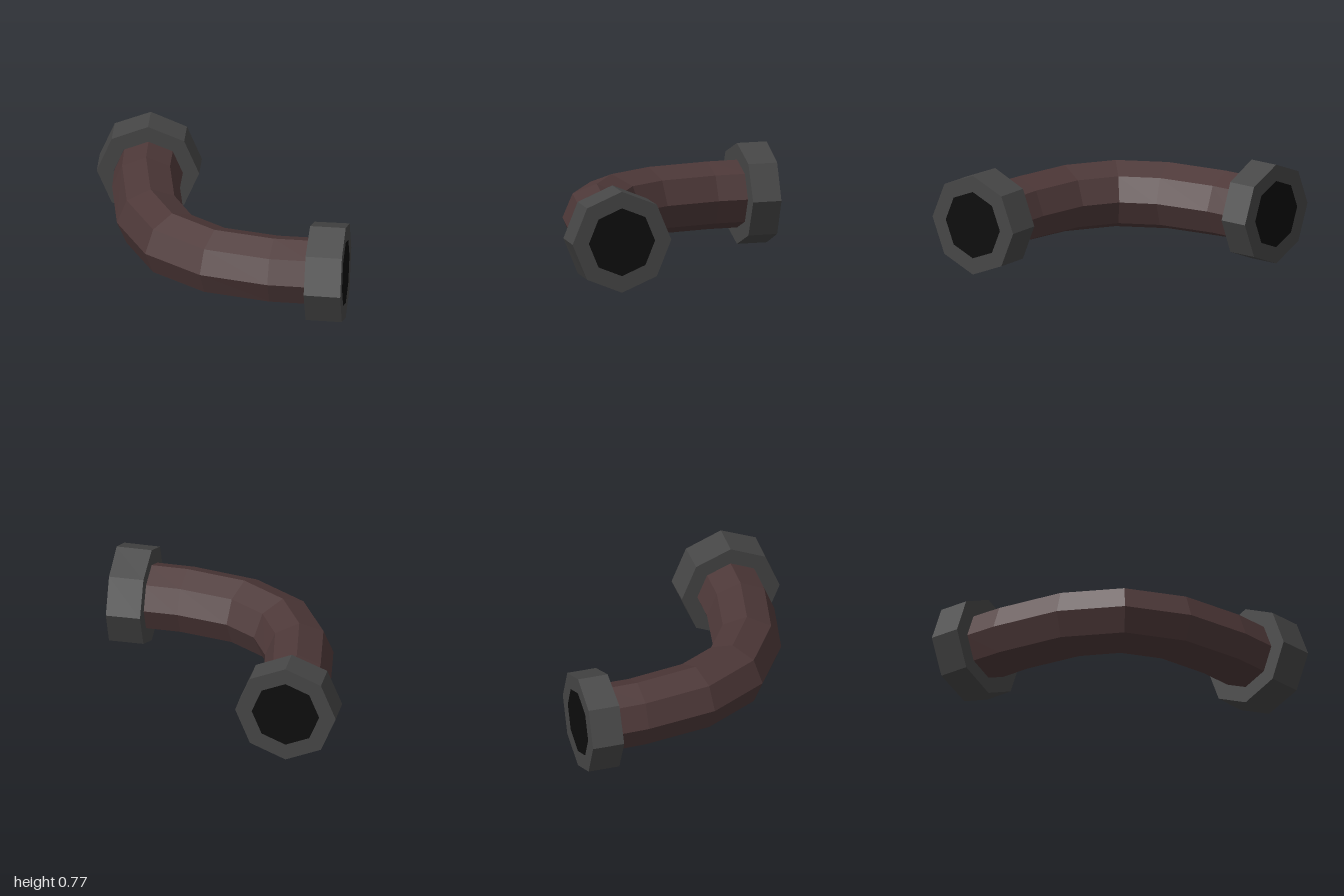
import * as THREE from 'three';

const SIDES = 8, AXIS_Y = 0.383, PIPE_R = 0.257, FLANGE_R = 0.383;

// Octagonal ring standing on the segment outer -> inner (each [x, z]) with vertical radius r
function ring(outer, inner, r, scale = 1) {
  const cx = (outer[0] + inner[0]) / 2, cz = (outer[1] + inner[1]) / 2;
  const ax = (inner[0] - outer[0]) / 2 * scale, az = (inner[1] - outer[1]) / 2 * scale;
  const points = [];
  for (let k = 0; k < SIDES; k++) {
    const a = k / SIDES * Math.PI * 2, c = Math.cos(a);
    points.push(new THREE.Vector3(cx + ax * c, AXIS_Y + r * scale * Math.sin(a), cz + az * c));
  }
  return points;
}

// Skin consecutive rings with flat quads
function loft(rings) {
  const points = [];
  for (let i = 0; i < rings.length - 1; i++) {
    for (let k = 0; k < SIDES; k++) {
      const n = (k + 1) % SIDES;
      const a = rings[i][k], b = rings[i][n], c = rings[i + 1][n], d = rings[i + 1][k];
      points.push(a, b, c, a, c, d);
    }
  }
  const geometry = new THREE.BufferGeometry().setFromPoints(points);
  geometry.computeVertexNormals();
  return geometry;
}

export function createModel() {
  const model = new THREE.Group();
  model.name = 'elbowPipe';
  const material = (color, extra = {}) =>
    new THREE.MeshStandardMaterial({ color, flatShading: true, ...extra });
  const pipeMaterial = material(0x4d3838);
  const flangeMaterial = material(0x464646);
  const boreMaterial = material(0x0d0d0d);
  const add = (name, geometry, mat) => {
    const mesh = new THREE.Mesh(geometry, mat);
    mesh.name = name;
    model.add(mesh);
    return mesh;
  };

  // Bent pipe: outer and inner bend points of each joint
  const joints = [
    [[-0.87, -0.78], [-0.357, -0.8]],
    [[-0.862, -0.52], [-0.357, -0.55]],
    [[-0.775, 0.02], [-0.285, -0.13]],
    [[-0.52, 0.47], [-0.15, 0.115]],
    [[-0.085, 0.75], [0.09, 0.27]],
    [[0.43, 0.855], [0.48, 0.345]],
    [[0.74, 0.863], [0.76, 0.35]],
  ];
  add('pipe', loft(joints.map(([o, i]) => ring(o, i, PIPE_R))), pipeMaterial);

  // End collars with a bore-sized opening, listed along the pipe direction
  const hole = PIPE_R / FLANGE_R;
  const addFlange = (name, start, end) => add(name, loft([
    ring(...start, FLANGE_R, hole),
    ring(...start, FLANGE_R),
    ring(...end, FLANGE_R),
    ring(...end, FLANGE_R, hole),
  ]), flangeMaterial);
  addFlange('backFlange',
    [[-1, -1], [-0.235, -1]],
    [[-1, -0.757], [-0.235, -0.78]]);
  addFlange('sideFlange',
    [[0.715, 0.985], [0.74, 0.23]],
    [[0.99, 0.995], [1, 0.23]]);

  // Dark bore discs filling the openings
  const disc = new THREE.CircleGeometry(PIPE_R, SIDES);
  const backBore = add('backBore', disc, boreMaterial);
  backBore.position.set(-0.6175, AXIS_Y, -1);
  backBore.rotation.y = Math.PI;
  const sideBore = add('sideBore', disc, boreMaterial);
  sideBore.position.set(0.995, AXIS_Y, 0.6125);
  sideBore.rotation.y = Math.PI / 2 - 0.013;

  return model;
}
